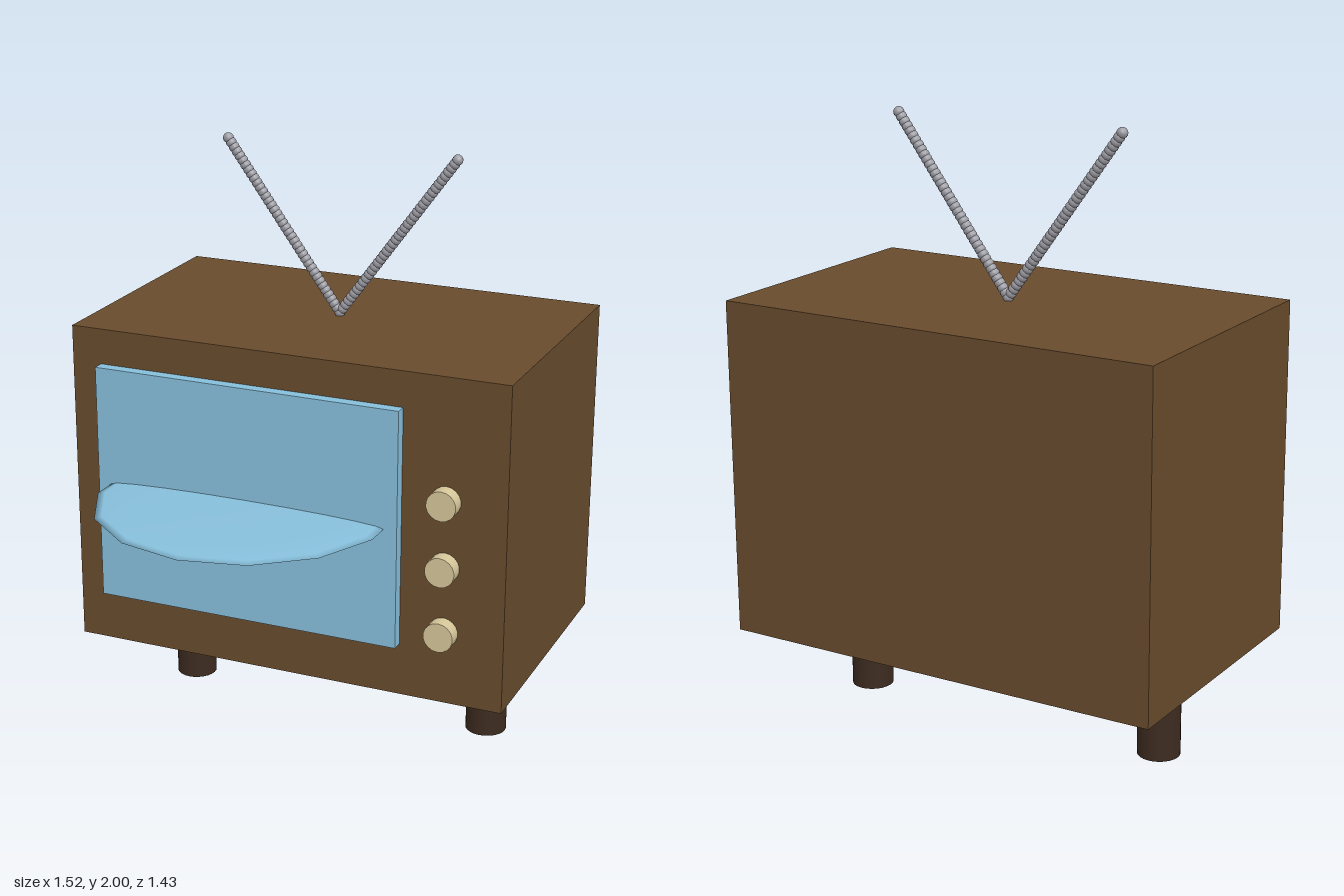
import * as THREE from 'three';

const material = (name, color) => {
  const m = new THREE.MeshStandardMaterial({ color });
  m.name = name;
  return m;
};

export function createModel() {
  const group = new THREE.Group();
  const brown = material('cabinet brown', 0x684b2d);
  const darkBrown = material('leg dark brown', 0x3d2b20);
  const blue = material('screen blue', 0x87bfdb);
  const cream = material('knob cream', 0xd6c69a);
  const grey = material('antenna grey', 0x9c9ca4);

  const add = (name, geometry, mat, x, y, z, parent = group) => {
    const mesh = new THREE.Mesh(geometry, mat);
    mesh.name = name;
    mesh.position.set(x, y, z);
    parent.add(mesh);
    return mesh;
  };

  // Cabinet and raised screen
  add('cabinet', new THREE.BoxGeometry(1.52, 1.11, 0.915), brown, 0, 0.865, -0.2605);
  add('screen', new THREE.BoxGeometry(1.065, 0.81, 0.08), blue, -0.125, 0.895, 0.196);

  // Flattened bulge: 14 sides, turned so a corner points forward
  const bulge = new THREE.SphereGeometry(0.5, 14, 10);
  bulge.rotateY(Math.PI / 14);
  bulge.scale(1, 0.04, 1);
  add('screenBulge', bulge, blue, -0.125, 0.898, 0.216);

  // Column of control knobs
  const knob = new THREE.CylinderGeometry(0.05, 0.05, 0.06, 18);
  knob.rotateX(Math.PI / 2);
  for (const y of [1.01, 0.785, 0.56]) add('knob', knob, cream, 0.556, y, 0.216);

  // Two legs, a small gap below the cabinet
  const leg = new THREE.CylinderGeometry(0.07, 0.07, 0.243, 24);

  // Beaded antenna rods spreading in a V
  const bead = new THREE.SphereGeometry(0.018, 12, 8);
  const beads = 40;
  for (const side of [-1, 1]) {
    const sideName = side > 0 ? 'left' : 'right';
    add(sideName + 'Leg', leg, darkBrown, side * 0.557, 0.1215, -0.26);

    const rod = new THREE.Group();
    rod.name = sideName + 'Antenna';
    group.add(rod);
    for (let i = 0; i < beads; i++) {
      const t = i / (beads - 1);
      add('antennaBead', bead, grey, side * 0.403 * t, 1.43 + 0.552 * t, -0.26, rod);
    }
  }
  return group;
}
